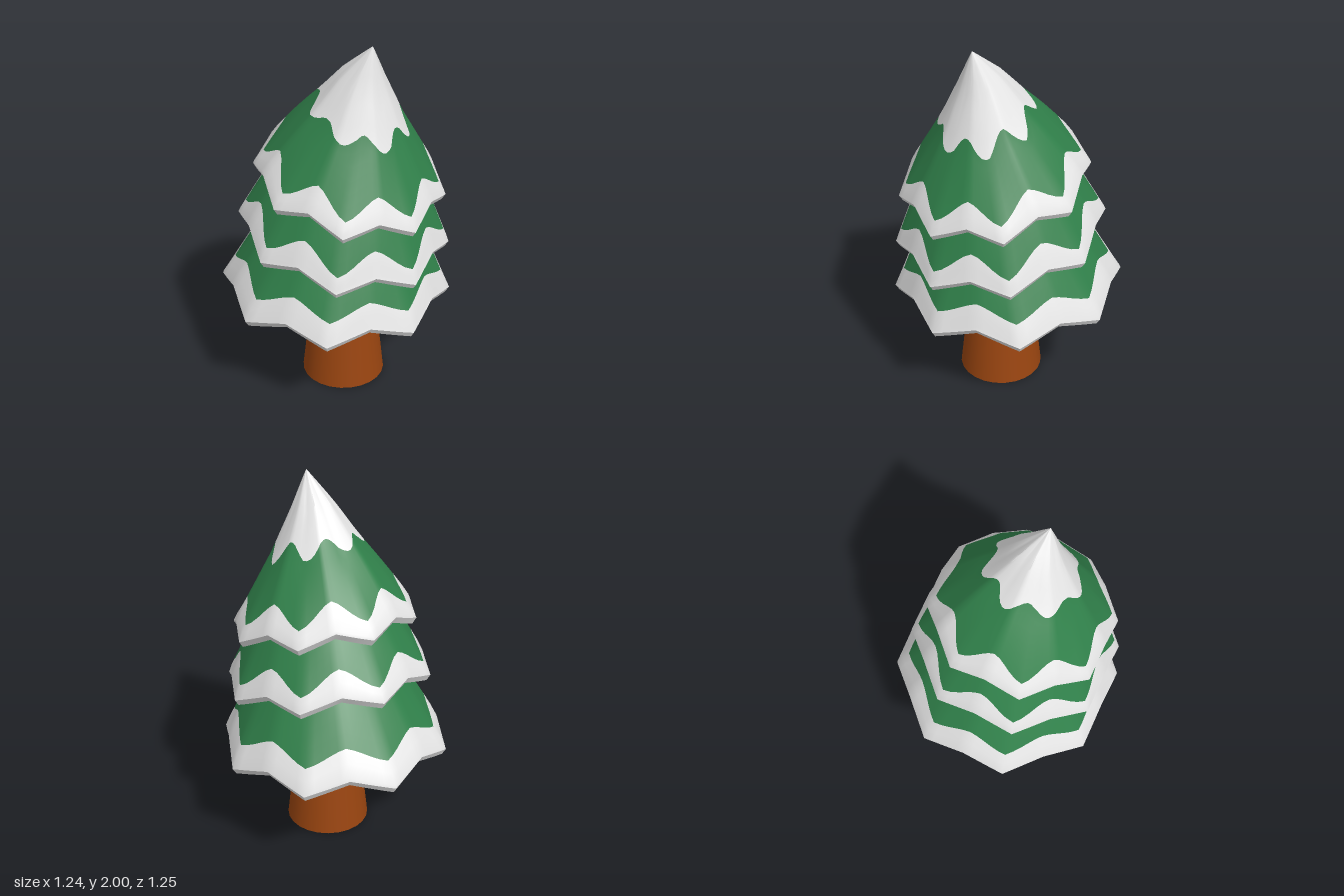
import * as THREE from 'three';
import { toCreasedNormals } from 'three/addons/utils/BufferGeometryUtils.js';

const SIDES = 8, STEPS = 10, N = SIDES * STEPS;
const SECTOR = (Math.PI * 2) / SIDES;
const lerp = THREE.MathUtils.lerp;

// Interpolate the tier's key rings: [t, centre y, centre z, radius, forward tilt]
function ringAt(keys, t) {
  let i = 1;
  while (i < keys.length - 1 && t > keys[i][0]) i++;
  const a = keys[i - 1], b = keys[i];
  const f = (t - a[0]) / (b[0] - a[0]);
  return a.map((v, k) => lerp(v, b[k], f));
}

// Point on the tier: eight-cornered zigzag at the rim, fading to round at the top
function tierPoint(tier, t, angle, dr, dy, scale) {
  const [, cy, cz, r0, tilt] = ringAt(tier.keys, t);
  const u = (((angle / SECTOR) % 1) + 1) % 1;
  const octagon = Math.cos(SECTOR / 2) / Math.cos((u - 0.5) * SECTOR);
  const fade = Math.max(0, 1 - t);
  const r = (r0 * lerp(1, octagon, fade) + dr) * scale;
  const zigzag = (1 - Math.abs(2 * u - 1)) * tier.wave * fade;
  const z = r * Math.sin(angle);
  return [r * Math.cos(angle), cy + dy + zigzag - tilt * z, cz + z];
}

function buildTier(tier, materials, name) {
  const SNOW = 0, LEAF = 1;
  const rimEdge = a => lerp(tier.snow[0], tier.snow[1], (1 - Math.cos(a * SIDES)) / 2);
  const capEdge = a => (tier.cap ? tier.cap - 0.05 * Math.cos(7 * a) : 1);
  // Rows from the inside, round the lip, then up the outside; mat colours the band to the next row
  const rows = [];
  const row = (t, mat, dr = 0, dy = 0, scale = 1) => rows.push({ t, mat, dr, dy, scale });
  row(() => tier.inner, LEAF, -0.05, -0.03, 0);
  row(() => tier.inner, LEAF, -0.05, -0.03);
  row(() => 0, SNOW, -0.05, -0.03);
  row(() => 0, SNOW, -0.02, -0.045);
  row(() => 0, SNOW, 0, -0.012);
  row(() => 0, SNOW, -0.006, 0.004);
  row(a => rimEdge(a) / 2, SNOW);
  for (let i = 0; i < 6; i++) row(a => lerp(rimEdge(a), capEdge(a), i / 6), LEAF);
  if (tier.cap) for (let i = 0; i < 6; i++) row(a => lerp(capEdge(a), 1, i / 6), SNOW);
  row(() => 1, LEAF);

  const pos = [], index = [];
  for (const { t, dr, dy, scale } of rows) {
    for (let j = 0; j < N; j++) {
      const a = (j / N) * Math.PI * 2;
      pos.push(...tierPoint(tier, t(a), a, dr, dy, scale));
    }
  }
  const geo = new THREE.BufferGeometry();
  for (let i = 0; i < rows.length - 1; i++) {
    geo.addGroup(index.length, N * 6, rows[i].mat);
    for (let j = 0; j < N; j++) {
      const k = (j + 1) % N;
      const p = i * N + j, q = i * N + k;
      index.push(p, p + N, q, q, p + N, q + N);
    }
  }
  geo.setAttribute('position', new THREE.Float32BufferAttribute(pos, 3));
  geo.setIndex(index);
  const mesh = new THREE.Mesh(toCreasedNormals(geo, 0.6), materials);
  mesh.name = name;
  return mesh;
}

export function createModel() {
  const snow = new THREE.MeshStandardMaterial({ color: 0xe6e6e6 });
  snow.name = 'snow white';
  const leaf = new THREE.MeshStandardMaterial({ color: 0x30804a });
  leaf.name = 'pine green';
  const bark = new THREE.MeshStandardMaterial({ color: 0x9a4510 });
  bark.name = 'bark brown';

  const tree = new THREE.Group();
  tree.name = 'snowyPineTree';

  // Tapered trunk, running up inside the branches
  const trunk = new THREE.Mesh(new THREE.CylinderGeometry(0.12, 0.225, 0.95, 24), bark);
  trunk.position.set(0, 0.475, 0.067);
  trunk.name = 'trunk';
  tree.add(trunk);

  // Branch tiers, leaning further forward toward the top
  const tiers = {
    lowerBranches: {
      keys: [[0, 0.545, 0, 0.622, 0.04], [1, 1.12, 0.09, 0.29, 0.11]],
      wave: 0.07, snow: [0.19, 0.25], inner: 0.7,
    },
    middleBranches: {
      keys: [[0, 0.915, 0.065, 0.56, 0.173], [1, 1.35, 0.118, 0.32, 0.2]],
      wave: 0.065, snow: [0.15, 0.32], inner: 0.7,
    },
    topBranches: {
      keys: [[0, 1.222, 0.11, 0.5, 0.205], [0.5, 1.6, 0.185, 0.235, 0.36],
        [0.75, 1.81, 0.215, 0.115, 0.33], [1, 2, 0.275, 0, 0.33]],
      wave: 0.065, snow: [0.09, 0.17], inner: 0.4, cap: 0.5,
    },
  };
  for (const [name, tier] of Object.entries(tiers)) tree.add(buildTier(tier, [snow, leaf], name));
  return tree;
}
